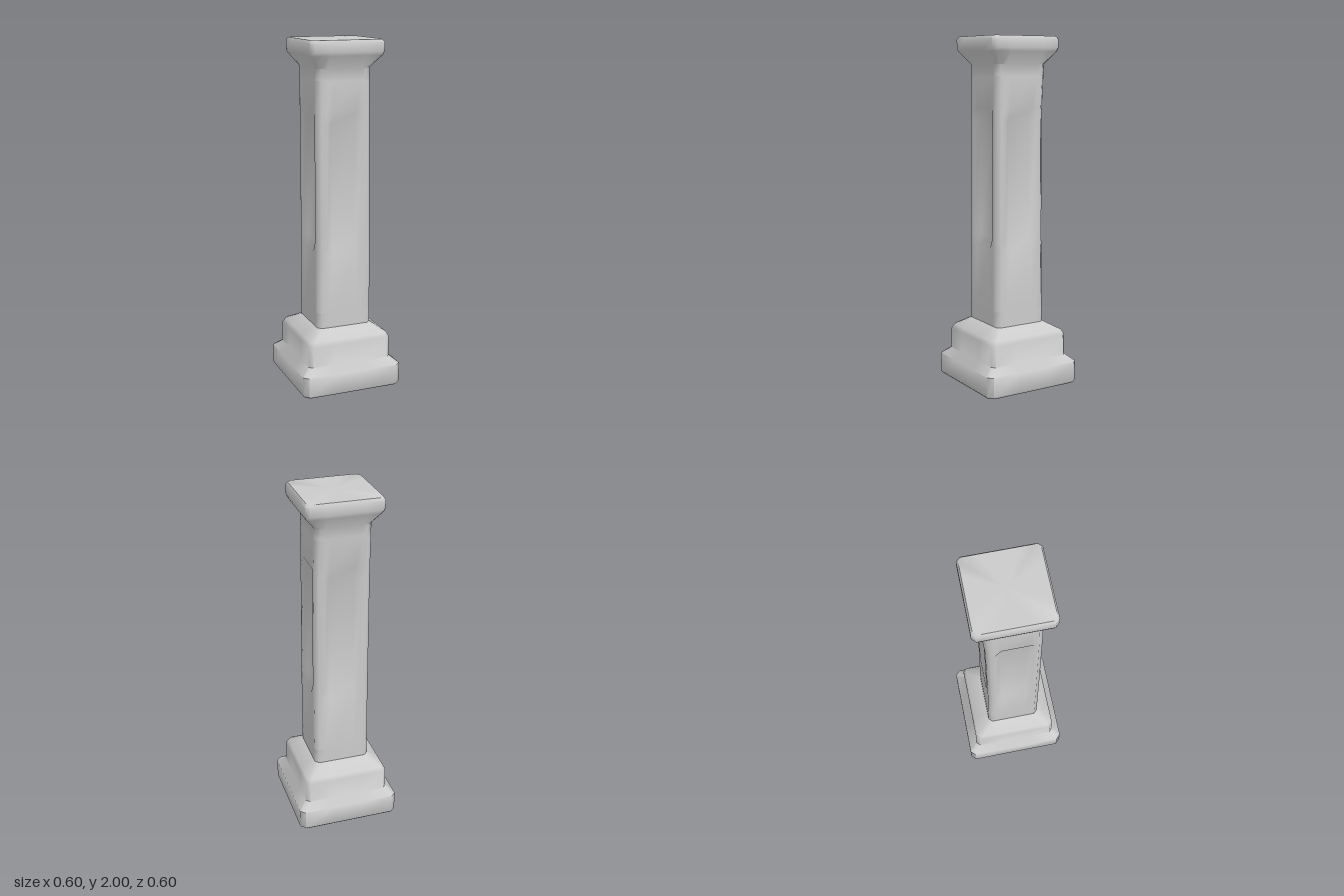
import * as THREE from 'three';
import { toCreasedNormals } from 'three/addons/utils/BufferGeometryUtils.js';

const PANEL_OUTER = 0.105, PANEL_INNER = 0.07;

// Ring: y, half width x, half width z, corner chamfer, centre x, centre z, panel depth
function section([y, hx, hz, chamfer, cx = 0, cz = 0, depth = 0]) {
  const points = [];
  for (let k = 0; k < 4; k++) {
    const nx = [1, 0, -1, 0][k], nz = [0, 1, 0, -1][k];
    const out = k % 2 ? hz : hx;
    const end = (k % 2 ? hx : hz) - chamfer;
    for (const u of [-end, -PANEL_OUTER, -PANEL_INNER, PANEL_INNER, PANEL_OUTER, end]) {
      const d = out - (Math.abs(u) === PANEL_INNER ? depth : 0);
      points.push([cx + nx * d - nz * u, y, cz + nz * d + nx * u]);
    }
  }
  return points;
}

// Skin a stack of chamfered square rings, optionally closing an end
function loft(name, rings, { bottom = false, top = false } = {}) {
  const loops = rings.map(section);
  const n = loops[0].length;
  const positions = loops.flat(2);
  const index = [];
  for (let r = 0; r < loops.length - 1; r++) {
    for (let i = 0; i < n; i++) {
      const j = (i + 1) % n, a = r * n, b = a + n;
      index.push(a + i, b + i, a + j, b + i, b + j, a + j);
    }
  }
  const cap = (r, up) => {
    const [y, , , , cx = 0, cz = 0] = rings[r];
    const c = positions.length / 3;
    positions.push(cx, y, cz);
    for (let i = 0; i < n; i++) {
      const p = r * n + i, q = r * n + (i + 1) % n;
      index.push(c, up ? q : p, up ? p : q);
    }
  };
  if (bottom) cap(0, false);
  if (top) cap(rings.length - 1, true);

  const geometry = new THREE.BufferGeometry();
  geometry.setAttribute('position', new THREE.Float32BufferAttribute(positions, 3));
  geometry.setIndex(index);
  const mesh = new THREE.Mesh(
    toCreasedNormals(geometry, 0.95),
    new THREE.MeshStandardMaterial({ color: 0xcccccc })
  );
  mesh.name = name;
  return mesh;
}

export function createModel() {
  const group = new THREE.Group();
  group.name = 'pillar';

  // Two-step plinth sloping up into the foot of the shaft
  group.add(loft('base', [
    [0, 0.29, 0.29, 0.028],
    [0.012, 0.3, 0.3, 0.028],
    [0.125, 0.3, 0.3, 0.028],
    [0.165, 0.252, 0.252, 0.022],
    [0.285, 0.25, 0.25, 0.022],
    [0.31, 0.238, 0.238, 0.022],
    [0.36, 0.163, 0.157, 0.022, 0, 0.006],
    [0.45, 0.163, 0.157, 0.022, 0, 0.006],
  ], { bottom: true }));

  // Slightly worn shaft with a sunken panel on every face
  group.add(loft('shaft', [
    [0.45, 0.163, 0.157, 0.022, 0, 0.006],
    [0.8, 0.163, 0.154, 0.022, 0, 0.008],
    [0.87, 0.162, 0.154, 0.022, -0.001, 0.008, 0.025],
    [1.54, 0.16, 0.152, 0.022, -0.003, 0.006, 0.025],
    [1.6, 0.16, 0.153, 0.022, -0.003, 0.005],
    [1.78, 0.158, 0.157, 0.022, -0.003, -0.002],
  ]));

  // Flared cap with a softened rim
  group.add(loft('capital', [
    [1.78, 0.158, 0.157, 0.022, -0.003, -0.002],
    [1.845, 0.158, 0.159, 0.022, -0.003, -0.003],
    [1.915, 0.212, 0.21, 0.022],
    [1.935, 0.218, 0.217, 0.022],
    [1.985, 0.218, 0.217, 0.022],
    [2, 0.208, 0.207, 0.022],
  ], { top: true }));

  return group;
}
